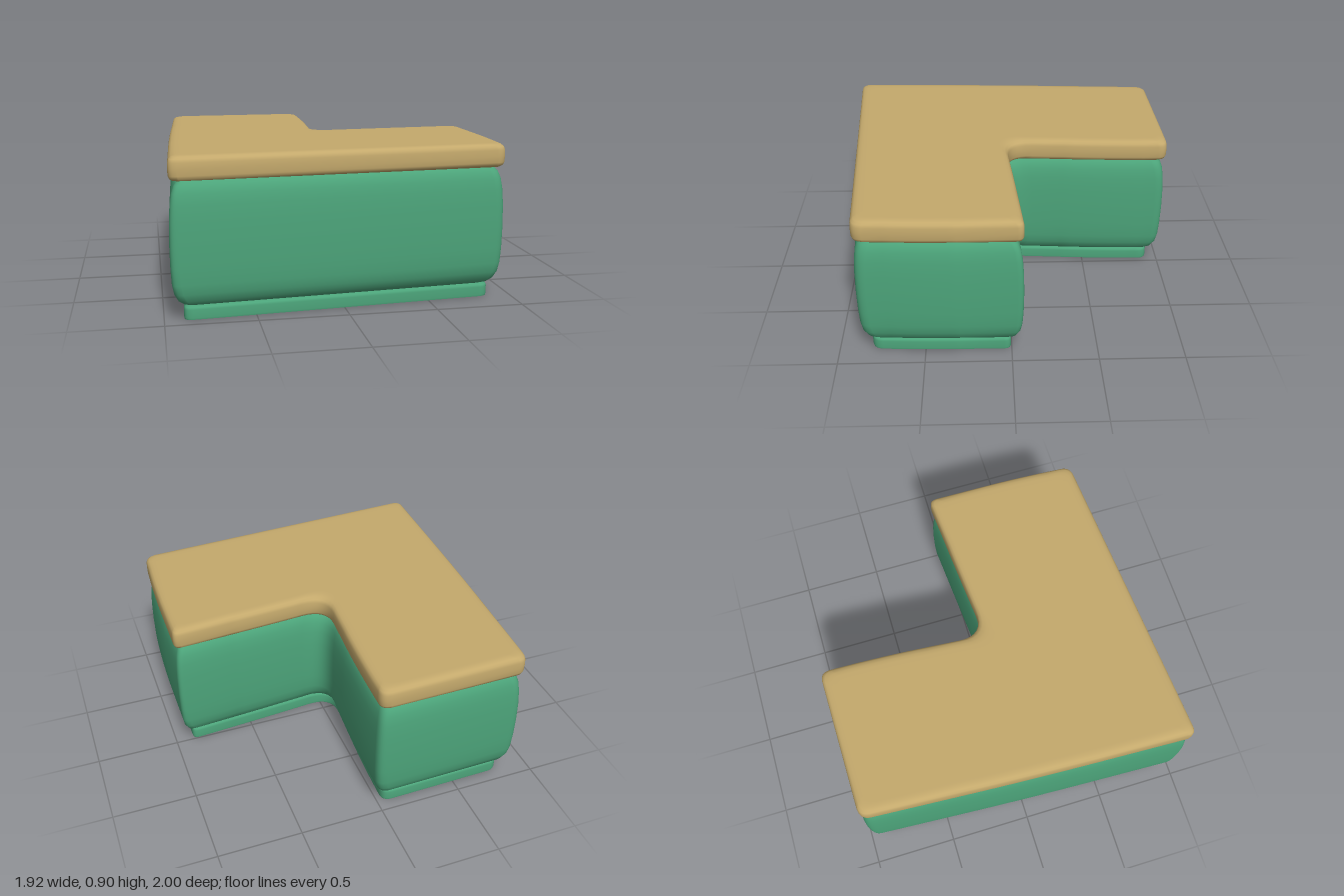
import * as THREE from 'three';

// Plan of the L-shaped counter: x, z, corner cut length
const PLAN = [
  [-0.865, -0.985, 0.06],
  [0.035, -0.997, 0.06],
  [0.026, -0.6, 0.25],
  [-0.022, 0.012, 0.17],
  [0.4, -0.026, 0.2],
  [0.955, -0.068, 0.04],
  [0.952, 0.5, 0.2],
  [0.93, 0.868, 0.06],
  [-0.962, 1.0, 0.05],
  [-0.925, 0.0, 0.4],
];
const STEPS = 8;

// The plan moved inward by a distance, with its corners rounded
function ring(inset) {
  const pts = PLAN.map(([x, z]) => new THREE.Vector2(x, z));
  const n = pts.length;
  const inward = pts.map((p, i) => {
    const d = pts[(i + 1) % n].clone().sub(p).normalize();
    return new THREE.Vector2(-d.y, d.x);
  });
  const corners = pts.map((p, i) => {
    const a = inward[(i + n - 1) % n], b = inward[i];
    return p.clone().addScaledVector(a.clone().add(b), inset / (1 + a.dot(b)));
  });
  const out = [];
  corners.forEach((c, i) => {
    const toward = (q) => c.clone().add(q.clone().sub(c).setLength(PLAN[i][2]));
    const curve = new THREE.QuadraticBezierCurve(
      toward(corners[(i + n - 1) % n]), c, toward(corners[(i + 1) % n]));
    out.push(...curve.getPoints(STEPS));
  });
  return out;
}

// Closed solid through rings given as [inset, y], bottom to top
function loft(profile) {
  const rings = profile.map(([inset]) => ring(inset));
  const n = rings[0].length;
  const pos = [], idx = [];
  rings.forEach((r, k) => r.forEach((p) => pos.push(p.x, profile[k][1], p.y)));
  for (let k = 0; k < rings.length - 1; k++) {
    for (let i = 0; i < n; i++) {
      const a = k * n + i, b = k * n + (i + 1) % n;
      idx.push(b, a, a + n, b, a + n, b + n);
    }
  }
  // End caps have their own vertices and face outward
  for (const [k, up] of [[0, false], [rings.length - 1, true]]) {
    const r = rings[k], start = pos.length / 3;
    r.forEach((p) => pos.push(p.x, profile[k][1], p.y));
    for (const [a, b, c] of THREE.ShapeUtils.triangulateShape(r, [])) {
      const u = r[b].clone().sub(r[a]), v = r[c].clone().sub(r[a]);
      const facesUp = u.y * v.x - u.x * v.y > 0;
      if (facesUp === up) idx.push(start + a, start + b, start + c);
      else idx.push(start + a, start + c, start + b);
    }
  }
  const g = new THREE.BufferGeometry();
  g.setAttribute('position', new THREE.Float32BufferAttribute(pos, 3));
  g.setIndex(idx);
  g.computeVertexNormals();
  return g;
}

export function createModel() {
  const green = new THREE.MeshStandardMaterial({ color: 0x4ca47a });
  green.name = 'green paint';
  const tan = new THREE.MeshStandardMaterial({ color: 0xc4a96c });
  tan.name = 'tan wood';

  const group = new THREE.Group();
  group.name = 'cornerCounter';
  const add = (name, material, profile) => {
    const mesh = new THREE.Mesh(loft(profile), material);
    mesh.name = name;
    group.add(mesh);
  };

  // Recessed plinth
  add('plinth', green, [
    [0.066, 0], [0.064, 0.01], [0.064, 0.055], [0.068, 0.068], [0.08, 0.076], [0.1, 0.078],
  ]);
  // Bulging cabinet body
  add('body', green, [
    [0.12, 0.072], [0.085, 0.077], [0.06, 0.088], [0.035, 0.112], [0.015, 0.155], [0.005, 0.21],
    [0, 0.3], [-0.002, 0.42], [0, 0.55], [0.006, 0.64], [0.015, 0.7], [0.03, 0.74],
    [0.05, 0.762], [0.08, 0.775],
  ]);
  // Countertop with a rounded rim
  add('countertop', tan, [
    [0.08, 0.764], [0.045, 0.764], [0.02, 0.768], [0.007, 0.778], [0.001, 0.795], [0, 0.83],
    [0.001, 0.865], [0.007, 0.883], [0.02, 0.894], [0.04, 0.899], [0.06, 0.9], [0.09, 0.9],
  ]);
  return group;
}
